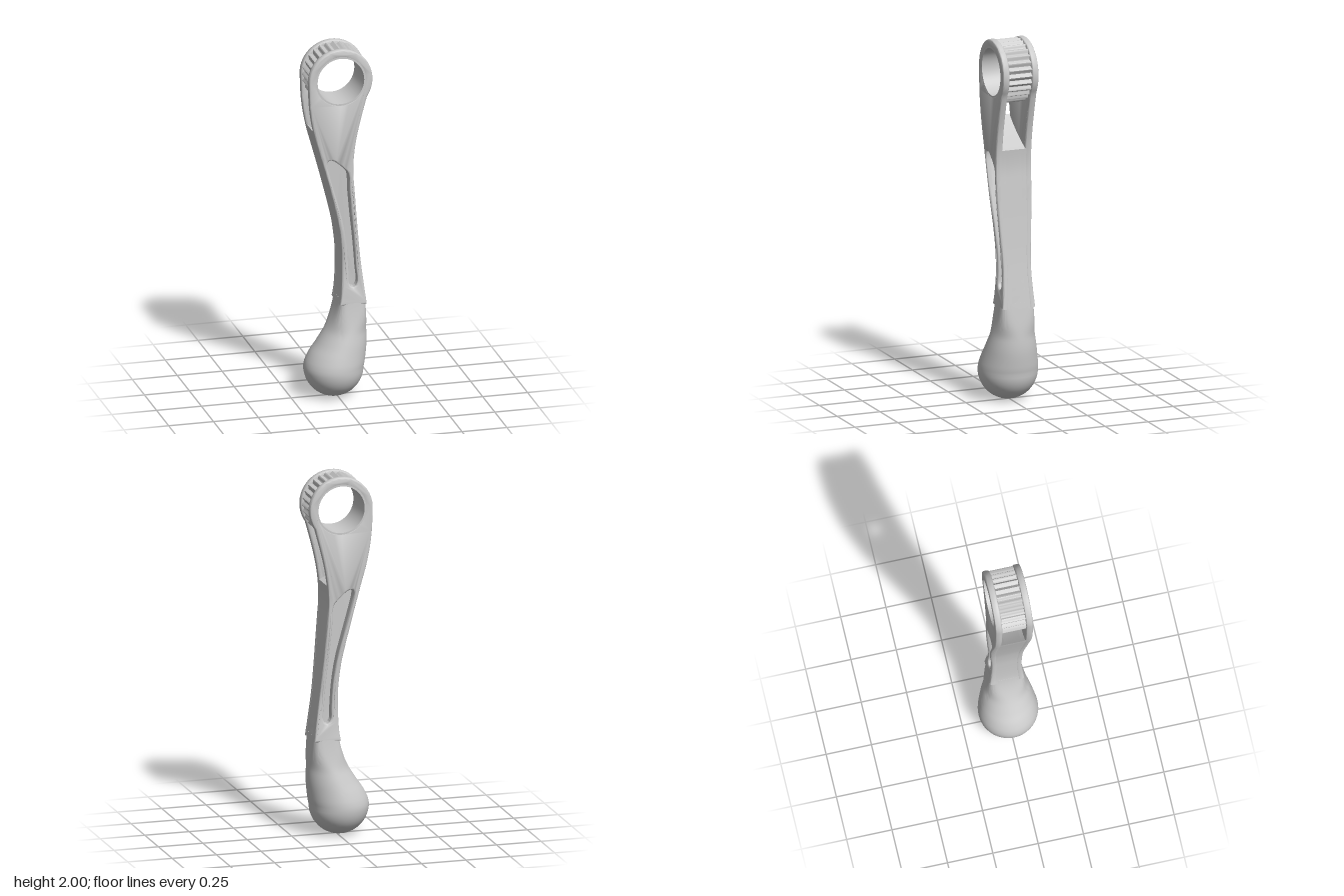
import * as THREE from 'three';
import { toCreasedNormals } from 'three/addons/utils/BufferGeometryUtils.js';

const EYE_Y = 1.825, EYE_R = 0.178, BORE_R = 0.13, HALF = 0.103;
const material = new THREE.MeshStandardMaterial({ color: 0xcccccc });

// Smooth function through [y, value] keys, sorted by y
function smooth(keys) {
  const n = keys.length - 1;
  const slope = (i) => {
    const a = keys[Math.max(i - 1, 0)], b = keys[Math.min(i + 1, n)];
    return (b[1] - a[1]) / (b[0] - a[0]);
  };
  return (y) => {
    let i = 0;
    while (i < n - 1 && y > keys[i + 1][0]) i++;
    const h = keys[i + 1][0] - keys[i][0];
    const t = THREE.MathUtils.clamp((y - keys[i][0]) / h, 0, 1), u = 1 - t;
    return u * u * (1 + 2 * t) * keys[i][1] + t * u * u * h * slope(i)
      + t * t * (3 - 2 * t) * keys[i + 1][1] - t * t * u * h * slope(i + 1);
  };
}

// Edges of the front silhouette, and half depth, by height
const left = smooth([[0.165, -0.178], [0.2, -0.17], [0.25, -0.145], [0.3, -0.11], [0.4, -0.05], [0.5, -0.01],
  [0.6, 0.008], [0.8, 0.012], [0.9, 0.005], [1, -0.01], [1.2, -0.058], [1.4, -0.112], [1.5, -0.14], [1.6, -0.161],
  [1.7, -0.173], [1.825, -0.178]]);
const right = smooth([[0.165, 0.148], [0.2, 0.155], [0.3, 0.165], [0.4, 0.162], [0.5, 0.152], [0.6, 0.14],
  [0.8, 0.115], [1, 0.095], [1.2, 0.078], [1.3, 0.071], [1.4, 0.076], [1.5, 0.091], [1.6, 0.114], [1.723, 0.147]]);
const depth = smooth([[0.165, 0.163], [0.2, 0.16], [0.3, 0.139], [0.4, 0.116], [0.5, 0.1], [0.6, 0.09],
  [0.7, 0.084], [0.8, 0.083], [0.9, 0.089], [1.1, 0.1], [1.25, HALF], [2, HALF]]);

function edge(fn, from, to, steps, inset = 0) {
  return Array.from({ length: steps + 1 }, (_, i) => {
    const y = from + (to - from) * i / steps;
    return new THREE.Vector2(fn(y) + inset, y);
  });
}

function circle(r, n, wave = () => 0, y = EYE_Y) {
  return Array.from({ length: n }, (_, i) => {
    const a = i / n * Math.PI * 2;
    return new THREE.Vector2((r + wave(a)) * Math.cos(a), y + (r + wave(a)) * Math.sin(a));
  });
}

function addMesh(group, name, geometry, crease = 0.6) {
  const mesh = new THREE.Mesh(toCreasedNormals(geometry, crease), material);
  mesh.name = name;
  group.add(mesh);
}

// Extrude an outline with holes from z0 to z1, optionally with rounded edges
function slab(points, holes, z0, z1, bevel = 0) {
  const shape = new THREE.Shape(points);
  shape.holes = holes.map((h) => new THREE.Path(h));
  const geometry = new THREE.ExtrudeGeometry(shape, {
    depth: z1 - z0 - 2 * bevel, bevelEnabled: bevel > 0, bevelThickness: bevel,
    bevelSize: bevel, bevelOffset: -bevel, bevelSegments: 4, curveSegments: 1,
  });
  return geometry.translate(0, 0, z0 + bevel);
}

// Thin or thicken a slab along the arm
function followDepth(geometry) {
  const p = geometry.attributes.position;
  for (let i = 0; i < p.count; i++) p.setZ(i, p.getZ(i) * depth(p.getY(i)) / HALF);
  return geometry;
}

// Knob: rounded-square loops at the neck turning into a round bulb
function knobGeometry() {
  const rows = [], cols = 56, pos = [], index = [];
  rows.push([0.565, 0.565, 0]);
  for (let i = 0; i <= 28; i++) {
    const y = 0.565 - 0.4 * i / 28;
    rows.push([y, y, 1]);
  }
  for (let i = 1; i <= 14; i++) {
    const a = i / 14 * Math.PI / 2;
    rows.push([0.165 - 0.165 * Math.sin(a), 0.165, Math.cos(a)]);
  }
  for (const [y, at, k] of rows) {
    const cx = (left(at) + right(at)) / 2, hw = (right(at) - left(at)) / 2;
    const power = 2 / (2 + 3 * THREE.MathUtils.smoothstep(at, 0.36, 0.58));
    for (let j = 0; j < cols; j++) {
      const a = j / cols * Math.PI * 2, c = Math.cos(a), s = Math.sin(a);
      pos.push(cx + k * hw * Math.sign(c) * Math.abs(c) ** power, y,
        k * depth(at) * Math.sign(s) * Math.abs(s) ** power);
    }
  }
  for (let i = 0; i < rows.length - 1; i++) {
    for (let j = 0; j < cols; j++) {
      const a = i * cols + j, b = i * cols + (j + 1) % cols;
      index.push(a, b, a + cols, b, b + cols, a + cols);
    }
  }
  const geometry = new THREE.BufferGeometry();
  geometry.setAttribute('position', new THREE.Float32BufferAttribute(pos, 3));
  geometry.setIndex(index);
  return geometry;
}

export function createModel() {
  const group = new THREE.Group();
  group.name = 'lever';

  // Long pocket sunk into both faces of the arm
  const pocket = new THREE.CatmullRomCurve3([
    [-0.072, 1.345], [-0.055, 1.27], [-0.008, 1.1], [0.022, 0.98], [0.042, 0.85], [0.05, 0.72], [0.054, 0.65],
    [0.075, 0.632], [0.095, 0.65], [0.09, 0.75], [0.078, 0.9], [0.062, 1.05], [0.05, 1.18], [0.042, 1.29],
    [0.02, 1.32], [-0.045, 1.372], [-0.068, 1.37],
  ].map(([x, y]) => new THREE.Vector3(x, y, 0)), true).getPoints(68).slice(0, -1)
    .map((p) => new THREE.Vector2(p.x, p.y));

  // Cheek outline: up the right edge, round the eye, down the left edge
  const arc = [];
  for (let i = 1; i < 36; i++) {
    const a = THREE.MathUtils.degToRad(-35 + 215 * i / 36);
    arc.push(new THREE.Vector2(EYE_R * Math.cos(a), EYE_Y + EYE_R * Math.sin(a)));
  }
  const cheek = [...edge(right, 0.535, 1.723, 44), ...arc, ...edge(left, EYE_Y, 0.535, 48)];

  // Core outline: ends in the sloping floor of the fork
  const core = [
    ...edge(right, 0.535, 1.4, 34, -0.001),
    new THREE.Vector2(0.025, 1.425), new THREE.Vector2(-0.04, 1.46), new THREE.Vector2(-0.1, 1.5),
    ...edge(left, 1.54, 0.535, 40, 0.001),
  ];

  addMesh(group, 'armWeb', followDepth(slab(core, [], -0.045, 0.045)));
  for (const [name, side] of [['front', 1], ['back', -1]]) {
    const span = (a, b) => (side > 0 ? [a, b] : [-b, -a]);
    addMesh(group, name + 'ArmLayer', followDepth(slab(core, [pocket], ...span(0.045, 0.08))));
    addMesh(group, name + 'Cheek',
      followDepth(slab(cheek, [pocket, circle(BORE_R + 0.002, 40)], ...span(0.065, HALF), 0.011)));
  }

  // Ribbed hub between the cheeks, with a plain sleeve lining the bore
  const ribs = circle(0.166, 28 * 8, (a) => 0.007 * Math.cos(28 * a));
  addMesh(group, 'ribbedHub', slab(ribs, [circle(BORE_R, 40)], -0.07, 0.07), 0.5);
  addMesh(group, 'boreSleeve', slab(circle(BORE_R + 0.016, 40), [circle(BORE_R, 40)], -0.1025, 0.1025));

  addMesh(group, 'knob', knobGeometry(), 0.7);
  return group;
}
